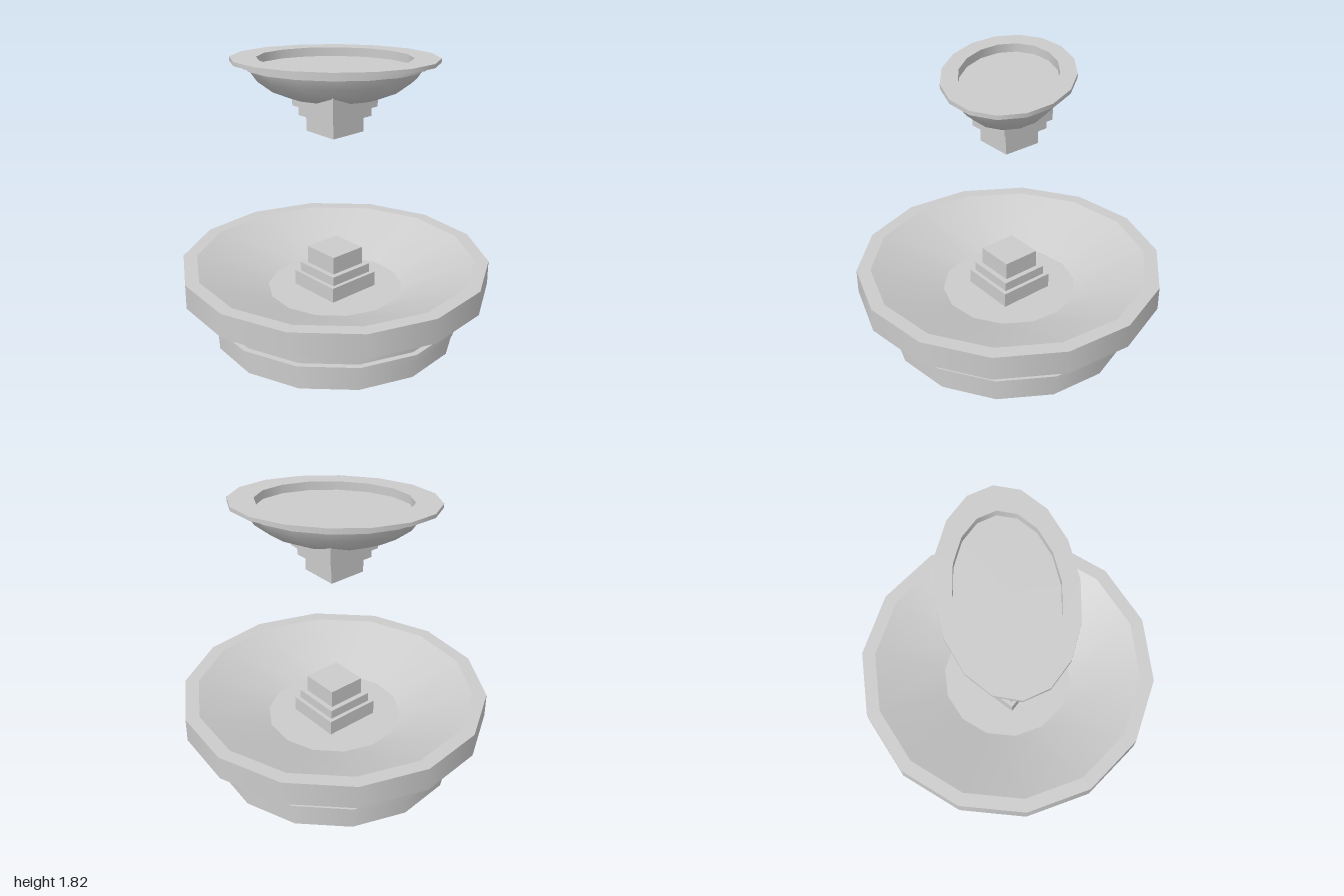
import * as THREE from 'three';
import { mergeGeometries } from 'three/addons/utils/BufferGeometryUtils.js';

const material = new THREE.MeshStandardMaterial({ color: 0xcccccc, side: THREE.DoubleSide });

// Smooth turned surface with a corner on the x axis
function turned(profile, sides) {
  const points = profile.map(([r, y]) => new THREE.Vector2(r, y));
  return new THREE.LatheGeometry(points, sides, Math.PI / 2);
}

// Turned surface that is smooth around but has a sharp edge at every profile point
function steppedTurned(profile, sides) {
  const bands = [];
  for (let i = 0; i < profile.length - 1; i++) bands.push(turned(profile.slice(i, i + 2), sides));
  return mergeGeometries(bands);
}

function addMesh(parent, name, geometry) {
  const mesh = new THREE.Mesh(geometry, material);
  mesh.name = name;
  parent.add(mesh);
  return mesh;
}

// Stack of square blocks turned 45 degrees: [half diagonal, bottom, top]
function addBlocks(parent, name, blocks) {
  const stack = new THREE.Group();
  stack.name = name;
  blocks.forEach(([half, bottom, top], i) => {
    const side = half * Math.SQRT2;
    const block = addMesh(stack, `${name}Block${i + 1}`, new THREE.BoxGeometry(side, top - bottom, side));
    block.position.y = (bottom + top) / 2;
    block.rotation.y = Math.PI / 4;
  });
  parent.add(stack);
}

export function createModel() {
  const fountain = new THREE.Group();
  fountain.name = 'fountain';

  // Large basin: one thin shell, open underneath
  addMesh(fountain, 'basin', steppedTurned([
    [0.8, 0], [0.8, 0.14], [0.835, 0.14], [0.835, 0.172], [0.797, 0.172],
    [0.797, 0.215], [0.828, 0.215], [0.828, 0.265], [0.848, 0.265], [0.865, 0.3],
    [1, 0.33], [1, 0.49], [0.91, 0.49], [0.44, 0.302], [0, 0.302],
  ], 14));

  // Stepped pedestal in the basin, and its mirror under the upper bowl
  addBlocks(fountain, 'pedestal', [[0.262, 0.3, 0.4], [0.225, 0.4, 0.46], [0.177, 0.46, 0.575]]);
  addBlocks(fountain, 'bowlSupport', [[0.177, 1.36, 1.46], [0.225, 1.46, 1.52], [0.262, 1.52, 1.64]]);

  // Oval upper bowl
  const bowl = new THREE.Group();
  bowl.name = 'upperBowl';
  bowl.scale.z = 0.628;
  addMesh(bowl, 'bowlUnderside', turned([
    [0, 1.55], [0.14, 1.556], [0.28, 1.578], [0.4, 1.625], [0.495, 1.695], [0.538, 1.757],
  ], 16));
  addMesh(bowl, 'bowlRim', steppedTurned([
    [0.538, 1.757], [0.55, 1.757], [0.55, 1.775], [0.583, 1.775], [0.583, 1.795],
    [0.64, 1.795], [0.64, 1.82], [0.477, 1.82], [0.477, 1.765], [0, 1.765],
  ], 16));
  fountain.add(bowl);

  return fountain;
}
